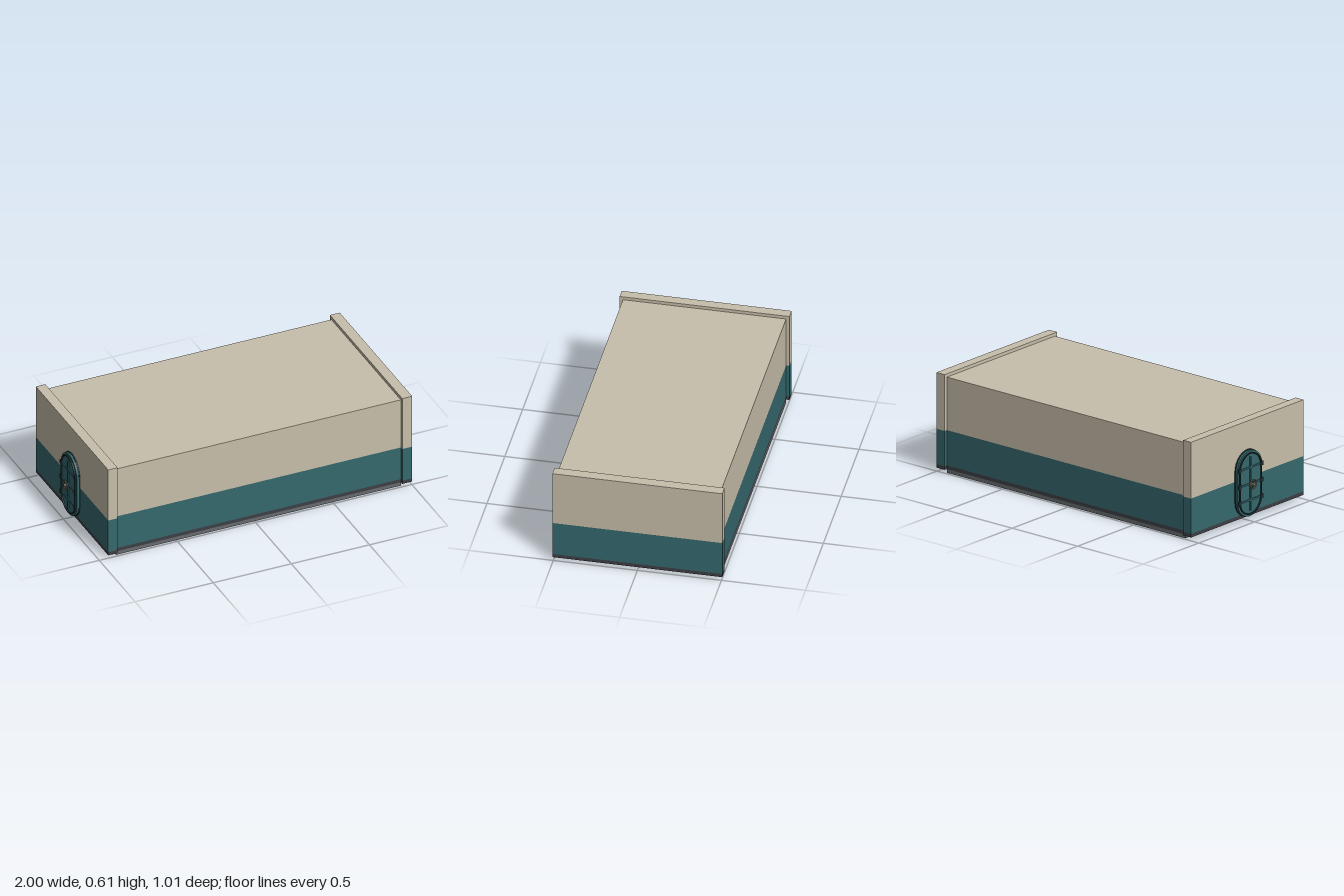
import * as THREE from 'three';

export function createModel() {
  const model = new THREE.Group();
  const mat = (name, color) => {
    const m = new THREE.MeshStandardMaterial({ color });
    m.name = name;
    return m;
  };
  const beige = mat('beige paint', 0xc8bfab);
  const teal = mat('teal paint', 0x35686d);
  const dark = mat('dark trim', 0x3e3f45);
  const grey = mat('grey base', 0x686c6e);
  const seal = mat('hatch seal', 0x1f3236);
  const metal = mat('handle metal', 0x8c8478);

  const add = (name, geometry, material, parent = model) => {
    const mesh = new THREE.Mesh(geometry, material);
    mesh.name = name;
    parent.add(mesh);
    return mesh;
  };
  // Box given by its limits on each axis
  const box = (name, material, [x0, x1], [y0, y1], [z0, z1], parent) => {
    const mesh = add(name, new THREE.BoxGeometry(x1 - x0, y1 - y0, z1 - z0), material, parent);
    mesh.position.set((x0 + x1) / 2, (y0 + y1) / 2, (z0 + z1) / 2);
    return mesh;
  };
  // Block painted in three horizontal bands
  const bandedBlock = (name, x, top, halfDepth) => {
    const group = new THREE.Group();
    group.name = name;
    const z = [-halfDepth, halfDepth];
    box(name + 'Trim', dark, x, [0.023, 0.045], z, group);
    box(name + 'Lower', teal, x, [0.045, 0.262], z, group);
    box(name + 'Upper', beige, x, [0.262, top], z, group);
    model.add(group);
  };

  // Hull, raised end frames and base plate
  bandedBlock('body', [-0.885, 0.937], 0.588, 0.485);
  bandedBlock('rightEndFrame', [-0.945, -0.885], 0.608, 0.505);
  bandedBlock('leftEndFrame', [0.937, 1.0], 0.608, 0.505);
  box('basePlate', grey, [-0.885, 0.937], [0, 0.023], [-0.485, 0.485]);

  // Hatch on the right end, drawn in XY and turned to face -x
  const hatch = new THREE.Group();
  hatch.name = 'hatch';
  hatch.position.set(-0.945, 0.23, 0);
  hatch.rotation.y = -Math.PI / 2;
  model.add(hatch);

  const outline = (Type, halfWidth, halfHeight) => {
    const s = new Type();
    const c = halfHeight - halfWidth;
    s.moveTo(halfWidth, -c);
    s.lineTo(halfWidth, c);
    s.absarc(0, c, halfWidth, 0, Math.PI, false);
    s.lineTo(-halfWidth, -c);
    s.absarc(0, -c, halfWidth, Math.PI, Math.PI * 2, false);
    return s;
  };
  const plate = (name, material, w, h, z, depth, hole) => {
    const shape = outline(THREE.Shape, w, h);
    if (hole) shape.holes.push(outline(THREE.Path, w - hole, h - hole));
    const geometry = new THREE.ExtrudeGeometry(shape, { depth, bevelEnabled: false, curveSegments: 20 });
    add(name, geometry, material, hatch).position.z = z;
  };
  plate('hatchSeal', seal, 0.113, 0.205, 0, 0.007);
  plate('hatchFrame', teal, 0.11, 0.202, 0.007, 0.013, 0.016);
  plate('hatchDoor', teal, 0.09, 0.182, 0.007, 0.016);
  plate('hatchRim', seal, 0.098, 0.19, 0.02, 0.009, 0.006);

  // Stiffening ribs and clamps
  box('verticalRib', teal, [-0.006, 0.006], [-0.165, 0.165], [0.02, 0.03], hatch);
  for (const y of [-0.1, 0, 0.1]) {
    box('crossRib', teal, [-0.085, 0.085], [y - 0.005, y + 0.005], [0.02, 0.029], hatch);
    for (const side of [-1, 1]) {
      const x = side * 0.098;
      box('clamp', seal, [x - 0.011, x + 0.011], [y - 0.012, y + 0.012], [0.015, 0.031], hatch);
    }
  }

  // Handwheel
  const shaft = add('wheelShaft', new THREE.CylinderGeometry(0.009, 0.009, 0.032, 12), metal, hatch);
  shaft.rotation.x = Math.PI / 2;
  shaft.position.z = 0.038;
  add('handwheel', new THREE.TorusGeometry(0.028, 0.004, 6, 24), metal, hatch).position.z = 0.045;
  for (const angle of [0, Math.PI / 2]) {
    const spoke = add('wheelSpoke', new THREE.BoxGeometry(0.054, 0.005, 0.005), metal, hatch);
    spoke.position.z = 0.045;
    spoke.rotation.z = angle;
  }
  return model;
}
